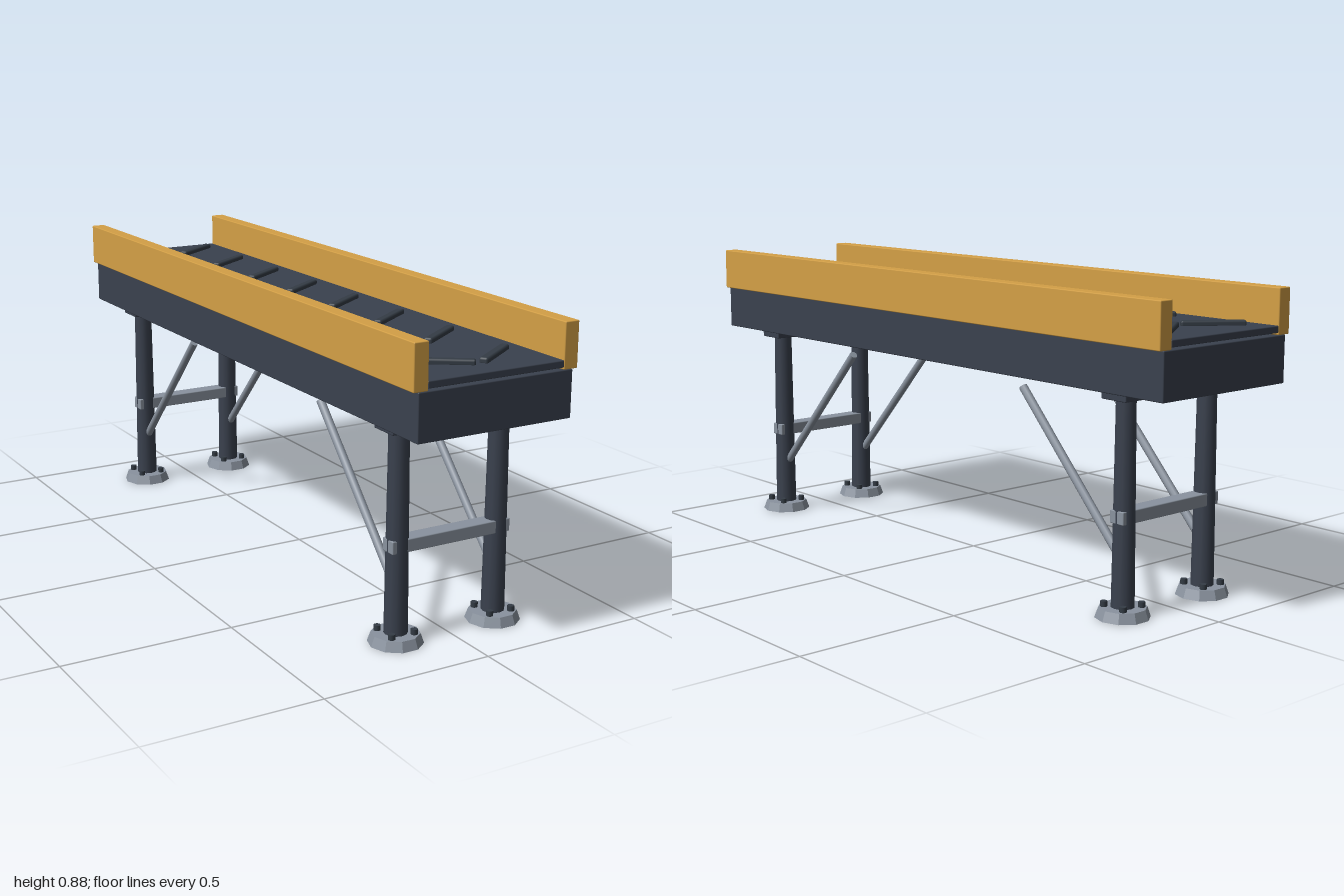
import * as THREE from 'three';
import { RoundedBoxGeometry } from 'three/addons/geometries/RoundedBoxGeometry.js';

export function createModel() {
  const model = new THREE.Group();
  model.name = 'conveyor';

  const paint = (name, color) => {
    const m = new THREE.MeshStandardMaterial({ color });
    m.name = name;
    return m;
  };
  const darkSteel = paint('darkSteel', 0x3a414e);
  const rubber = paint('rubber', 0x343c45);
  const greySteel = paint('greySteel', 0x8a939f);
  const yellow = paint('yellowPaint', 0xd4a046);
  const flatGrey = greySteel.clone();
  flatGrey.flatShading = true;

  const add = (parent, name, geometry, material, x, y, z) => {
    const mesh = new THREE.Mesh(geometry, material);
    mesh.name = name;
    mesh.position.set(x, y, z);
    parent.add(mesh);
    return mesh;
  };
  const box = (w, h, d, bevel = 0.003) => new RoundedBoxGeometry(w, h, d, 1, bevel);

  // Deck, belt and side rails
  add(model, 'deck', box(0.476, 0.132, 2), darkSteel, 0, 0.683, 0);
  add(model, 'belt', box(0.42, 0.02, 2), darkSteel, 0, 0.765, 0);
  for (const s of [-1, 1]) {
    add(model, 'sideRail', box(0.044, 0.127, 2), yellow, s * 0.231, 0.8125, 0);
  }

  // Chevron cleats, pointing to the front
  for (let i = 0; i < 8; i++) {
    for (const s of [-1, 1]) {
      const cleat = add(model, 'cleat', box(0.178, 0.018, 0.025, 0.006), rubber,
        s * 0.084, 0.78, -0.88 + i * 0.25);
      cleat.rotation.y = s * THREE.MathUtils.degToRad(35);
    }
  }

  // One leg with its foot and anchor bolts
  const legGeometry = new THREE.CylinderGeometry(0.028, 0.033, 0.57, 12);
  const footGeometry = new THREE.CylinderGeometry(0.067, 0.077, 0.028, 10, 1, false, Math.PI / 2);
  const boltGeometry = new THREE.CylinderGeometry(0.01, 0.01, 0.016, 8);
  const makeLeg = (x) => {
    const leg = new THREE.Group();
    leg.name = 'leg';
    leg.position.x = x;
    add(leg, 'post', legGeometry, darkSteel, 0, 0.31, 0);
    add(leg, 'foot', footGeometry, flatGrey, 0, 0.014, 0);
    for (const sx of [-1, 1]) {
      for (const sz of [-1, 1]) {
        add(leg, 'bolt', boltGeometry, rubber, sx * 0.036, 0.035, sz * 0.036);
      }
    }
    return leg;
  };

  // Two trestles, each with a cap plate, crossbar and slanted struts
  const strutFrom = new THREE.Vector3(0, 0.165, -0.015);
  const strutTo = new THREE.Vector3(0, 0.575, -0.4);
  const strutDir = strutTo.clone().sub(strutFrom);
  const strutGeometry = new THREE.CylinderGeometry(0.0125, 0.0125, strutDir.length(), 10);
  for (const end of [-1, 1]) {
    const trestle = new THREE.Group();
    trestle.name = end > 0 ? 'frontTrestle' : 'backTrestle';
    trestle.position.z = end * 0.8;
    if (end < 0) trestle.rotation.y = Math.PI;
    add(trestle, 'capPlate', box(0.418, 0.024, 0.09), darkSteel, 0, 0.606, 0);
    add(trestle, 'crossbar', box(0.38, 0.037, 0.05), greySteel, 0, 0.278, 0);
    for (const s of [-1, 1]) {
      trestle.add(makeLeg(s * 0.16));
      const mid = strutFrom.clone().lerp(strutTo, 0.5);
      const strut = add(trestle, 'strut', strutGeometry, greySteel, s * 0.16, mid.y, mid.z);
      strut.quaternion.setFromUnitVectors(new THREE.Vector3(0, 1, 0), strutDir.clone().normalize());
    }
    model.add(trestle);
  }

  return model;
}
